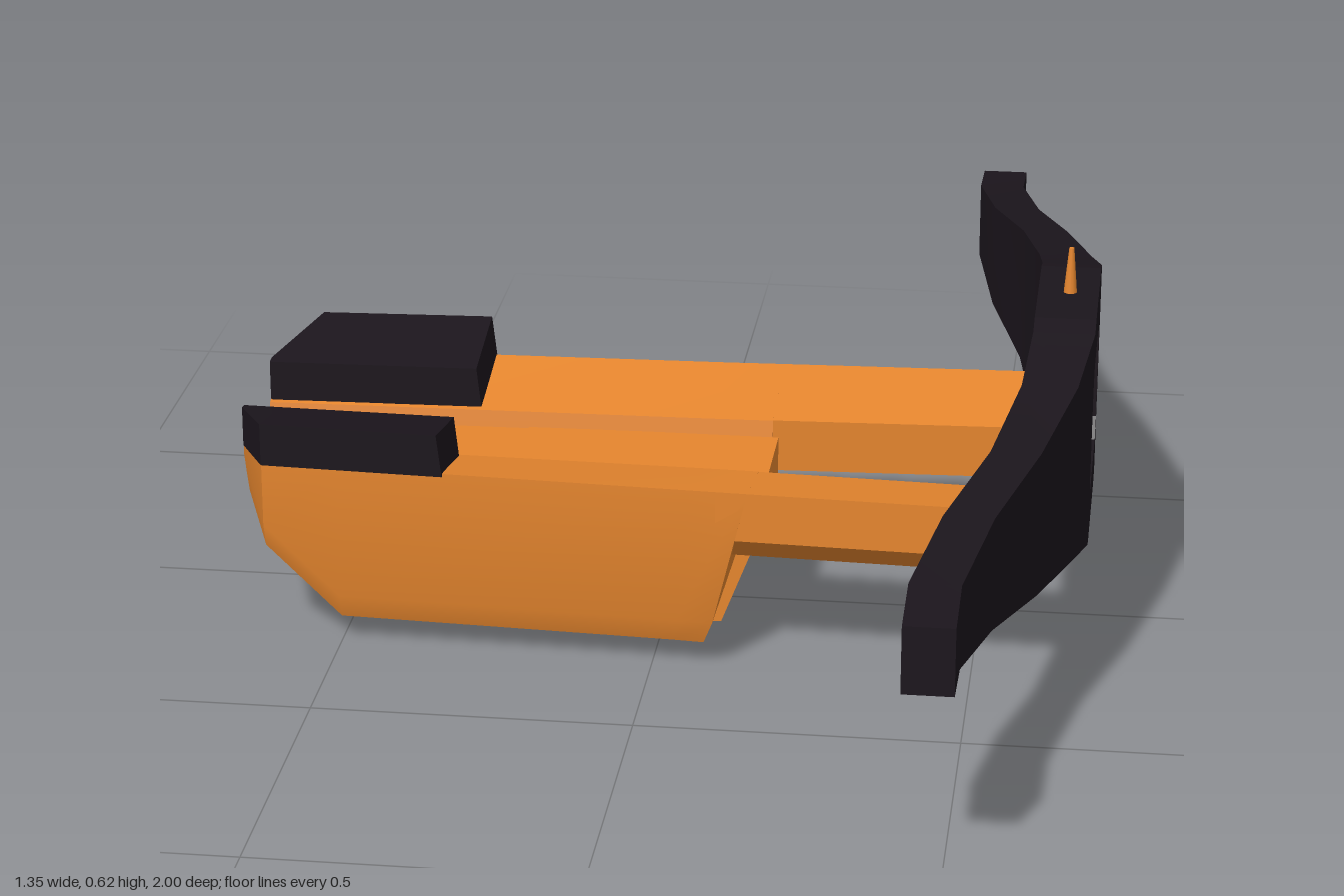
import * as THREE from 'three';
import { toCreasedNormals } from 'three/addons/utils/BufferGeometryUtils.js';

const orange = new THREE.MeshStandardMaterial({ color: 0xe6862e });
const dark = new THREE.MeshStandardMaterial({ color: 0x1b151c });

// Closed solid through rings of [x, y, z]; 'flat' picks the two axes used to triangulate the caps.
function loft(rings, flat = [2, 1], crease = 0.5) {
  const n = rings[0].length;
  const pts = rings.flat();
  const tris = [];
  for (let r = 0; r < rings.length - 1; r++) {
    for (let i = 0; i < n; i++) {
      const a = r * n + i, b = r * n + (i + 1) % n;
      tris.push([b, a, a + n], [b, a + n, b + n]);
    }
  }
  [0, rings.length - 1].forEach((r, end) => {
    const outline = rings[r].map(p => new THREE.Vector2(p[flat[0]], p[flat[1]]));
    const reversed = THREE.ShapeUtils.isClockWise(outline) !== (end === 1);
    for (const [a, b, c] of THREE.ShapeUtils.triangulateShape(outline, [])) {
      tris.push((reversed ? [a, c, b] : [a, b, c]).map(k => k + r * n));
    }
  });
  // Turn every face outward
  const v = pts.map(p => new THREE.Vector3(...p));
  const volume = tris.reduce((s, [a, b, c]) => s + v[a].dot(v[b].clone().cross(v[c])), 0);
  if (volume < 0) tris.forEach(t => t.reverse());
  const geometry = new THREE.BufferGeometry().setFromPoints(v);
  geometry.setIndex(tris.flat());
  return toCreasedNormals(geometry, crease);
}

export function createModel() {
  const group = new THREE.Group();
  const add = (name, geometry, material) => {
    const mesh = new THREE.Mesh(geometry, material);
    mesh.name = name;
    group.add(mesh);
    return mesh;
  };

  // Hull: open trough with a raised floor, tapered tail and raked front
  const floor = 0.24;
  const hullRing = (x, inner, outer, topOuter, bottom, rake = 0) => {
    const half = [
      [floor, inner - 0.005], [0.267, inner], [topOuter, outer],
      [bottom + 0.075, outer], [bottom + 0.035, outer - 0.015],
      [bottom, Math.min(0.1, outer - 0.03)],
    ];
    const ring = [...half, ...half.map(([y, z]) => [y, -z]).reverse()];
    return ring.map(([y, z]) => [x - rake * Math.max(0, 0.22 - y), y, z]);
  };
  add('hull', loft([
    hullRing(-0.68, 0.09, 0.11, 0.275, 0.18),
    hullRing(-0.62, 0.092, 0.253, 0.302, 0.12),
    hullRing(-0.5, 0.095, 0.258, 0.302, 0.006),
    hullRing(0.06, 0.107, 0.28, 0.3, 0.004, 0.15),
    hullRing(0.15, 0.11, 0.284, 0.3, 0.004, 0.38),
  ]), orange);

  // Keel: central block with a sloped front, slightly proud of the hull
  const keelShape = new THREE.Shape([
    [0.16, 0.242], [0.16, 0.18], [0.09, 0], [-0.19, 0], [-0.25, 0.03], [-0.25, 0.242],
  ].map(p => new THREE.Vector2(...p)));
  const keel = new THREE.ExtrudeGeometry(keelShape, { depth: 0.2, bevelEnabled: false });
  keel.translate(0, 0, -0.1);
  add('keel', keel, orange);

  for (const s of [1, -1]) {
    const side = s > 0 ? 'left' : 'right';

    // Rails joining the hull to the bow
    const railRing = (x, inner, outer) => [
      [x, 0.18, inner * s], [x, 0.267, inner * s], [x, 0.3, outer * s],
      [x, 0.22, outer * s], [x, 0.18, (outer - 0.04) * s],
    ];
    add(side + 'Rail', loft([railRing(0.1, 0.109, 0.282), railRing(0.58, 0.13, 0.302)]), orange);

    // Dark pads on the tail
    const padRing = (x, inner, outer, low, high, shift = 0) => [
      [x, 0.262, inner * s], [x, low, outer * s],
      [x - shift, high, outer * s], [x - shift, 0.335, inner * s],
    ];
    add(side + 'Pad', loft([
      padRing(-0.68, 0.098, 0.113, 0.272, 0.337),
      padRing(-0.62, 0.1, 0.256, 0.298, 0.367),
      padRing(-0.33, 0.108, 0.27, 0.298, 0.367, 0.008),
    ], [2, 1], 0.2), dark);

    // Curved wings of the bow: z, back x, front x, bottom y, top y
    const wing = [
      [0.16, 0.577, 0.672, 0.19, 0.541], [0.3, 0.567, 0.652, 0.222, 0.506],
      [0.5, 0.532, 0.607, 0.25, 0.477], [0.69, 0.475, 0.55, 0.275, 0.451],
      [0.88, 0.44, 0.515, 0.299, 0.427], [1, 0.44, 0.515, 0.312, 0.415],
    ].map(([z, x0, x1, y0, y1]) =>
      [[x0, y0, z * s], [x1, y0, z * s], [x1, y1, z * s], [x0, y1, z * s]]);
    add(side + 'Wing', loft(wing, [0, 1], 0.15), dark);
  }

  // Bow centre with its chamfered window
  const mirrored = half => [...half, ...half.map(([z, y]) => [-z, y]).reverse()]
    .map(p => new THREE.Vector2(...p));
  const centre = new THREE.Shape(mirrored([[0.12, 0.18], [0.16, 0.19], [0.16, 0.541], [0.12, 0.55]]));
  centre.holes.push(new THREE.Path(mirrored([[0.11, 0.26], [0.137, 0.29], [0.137, 0.438], [0.107, 0.468]])));
  const centreGeometry = new THREE.ExtrudeGeometry(centre, { depth: 0.095, bevelEnabled: false });
  centreGeometry.rotateY(Math.PI / 2).translate(0.577, 0, 0);
  add('bowCentre', centreGeometry, dark);

  // Sight post
  const sight = add('sightPost', new THREE.CylinderGeometry(0.004, 0.011, 0.08, 12), orange);
  sight.position.set(0.627, 0.583, -0.003);

  return group;
}
